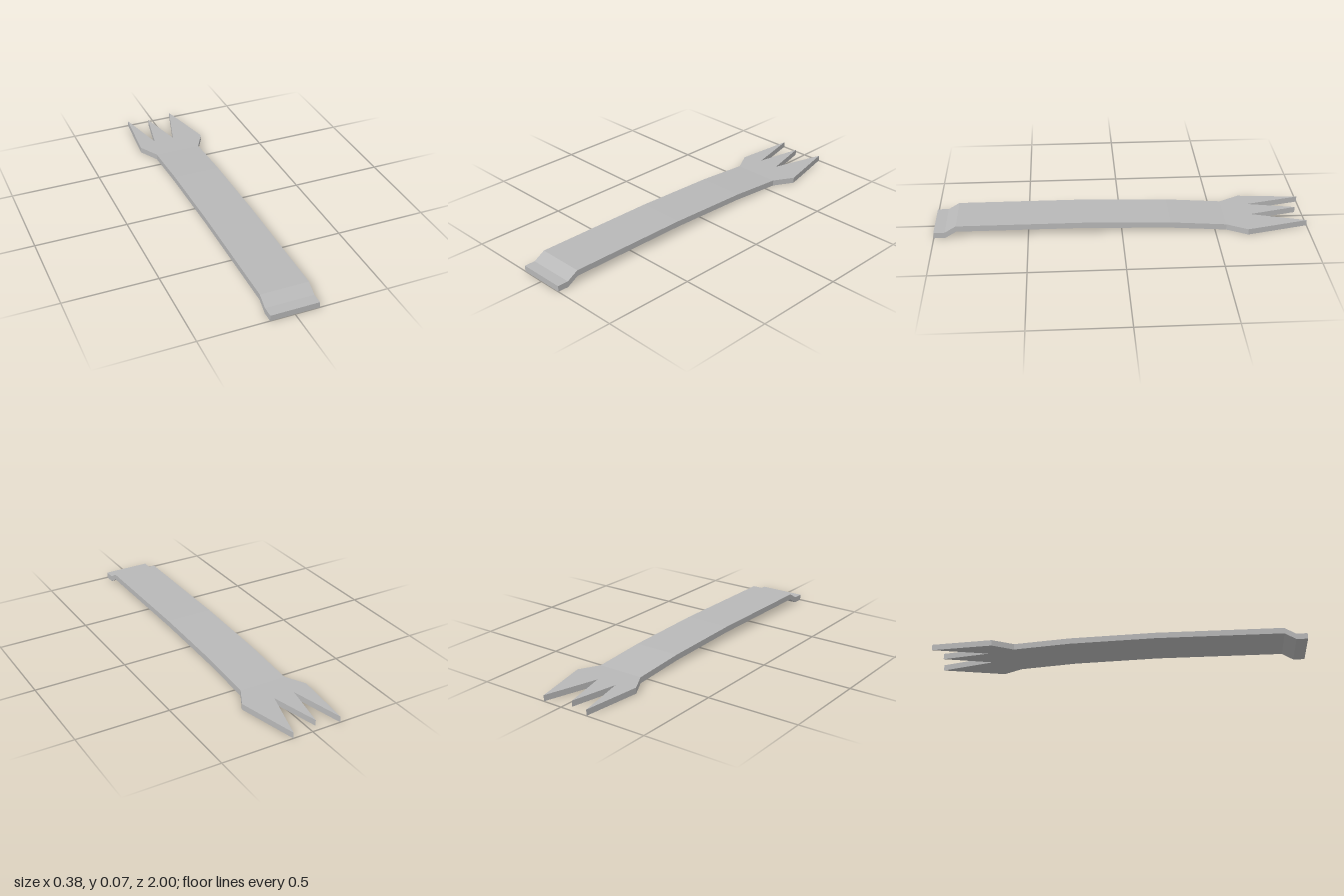
import * as THREE from 'three';

const THICK = 0.032;
const HALF_WIDTH = 0.13;

// Flat extrusion of a closed outline
function extrude(points, depth) {
  const shape = new THREE.Shape(points.map(([a, b]) => new THREE.Vector2(a, b)));
  return new THREE.ExtrudeGeometry(shape, { depth, bevelEnabled: false });
}

export function createModel() {
  const group = new THREE.Group();
  const steel = new THREE.MeshStandardMaterial({ color: 0xb8b8b8, flatShading: true });
  steel.name = 'grey steel';

  // Bent strap: underside as (z, y), thickened upwards and swept across x
  const underside = [
    [-0.56, 0], [-0.26, 0.022], [0.2, 0.036], [0.88, 0.036], [0.94, 0], [1, 0],
  ];
  const topside = underside.map(([z, y]) => [z, y + THICK]).reverse();
  const strapGeo = extrude([...underside, ...topside], HALF_WIDTH * 2);
  strapGeo.translate(0, 0, -HALF_WIDTH).rotateY(-Math.PI / 2);
  const strap = new THREE.Mesh(strapGeo, steel);
  strap.name = 'strap';
  group.add(strap);

  // Flared end with three uneven prongs: outline as (x, -z)
  const outline = [
    [-0.13, 0.56], [0.13, 0.56], [0.19, 0.67], [0.11, 1], [0.025, 0.705],
    [-0.04, 0.965], [-0.09, 0.705], [-0.16, 1], [-0.19, 0.67],
  ];
  const forkGeo = extrude(outline, THICK);
  forkGeo.rotateX(-Math.PI / 2);
  const fork = new THREE.Mesh(forkGeo, steel);
  fork.name = 'prongedEnd';
  group.add(fork);

  return group;
}
